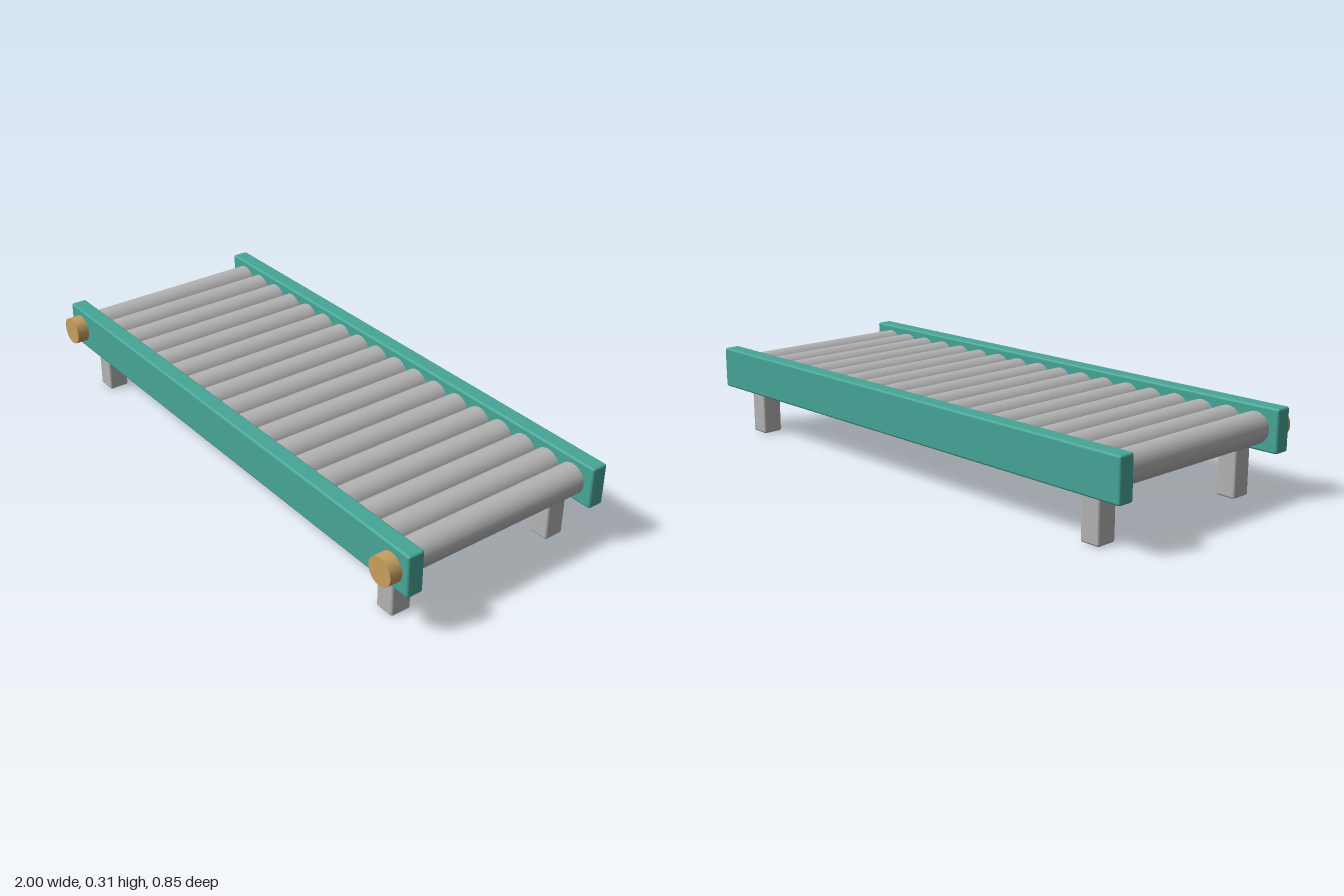
import * as THREE from 'three';
import { RoundedBoxGeometry } from 'three/addons/geometries/RoundedBoxGeometry.js';

const AXIS_Y = 0.237; // height of roller and knob axes
const MID_Z = -0.022; // middle of the frame, set back by the knobs

export function createModel() {
  const model = new THREE.Group();
  model.name = 'rollerConveyor';

  const flat = (name, color) => {
    const m = new THREE.MeshStandardMaterial({ color });
    m.name = name;
    return m;
  };
  const teal = flat('teal paint', 0x46a698);
  const steel = flat('grey steel', 0xb4b4b4);
  const brass = flat('brass', 0xc8a060);

  const add = (name, geometry, material, x, y, z) => {
    const mesh = new THREE.Mesh(geometry, material);
    mesh.name = name;
    mesh.position.set(x, y, z);
    model.add(mesh);
  };

  // Side rails
  const rail = new RoundedBoxGeometry(2, 0.149, 0.06, 2, 0.008);
  add('frontRail', rail, teal, 0, AXIS_Y, MID_Z + 0.375);
  add('backRail', rail, teal, 0, AXIS_Y, MID_Z - 0.375);

  // Bed of rollers between the rails
  const count = 18;
  const roller = new THREE.CylinderGeometry(0.054, 0.054, 0.72, 28).rotateX(Math.PI / 2);
  for (let i = 0; i < count; i++) {
    const x = -0.913 + (1.826 * i) / (count - 1);
    add('roller' + (i + 1), roller, steel, x, AXIS_Y, MID_Z);
  }

  // Four legs and the two knobs on the front rail
  const leg = new RoundedBoxGeometry(0.074, 0.21, 0.075, 2, 0.008);
  const knob = new THREE.CylinderGeometry(0.05, 0.05, 0.065, 20).rotateX(Math.PI / 2);
  for (const [side, s] of [['left', 1], ['right', -1]]) {
    add(side + 'FrontLeg', leg, steel, s * 0.85, 0.105, MID_Z + 0.325);
    add(side + 'BackLeg', leg, steel, s * 0.85, 0.105, MID_Z - 0.325);
    add(side + 'Knob', knob, brass, s * 0.925, AXIS_Y, 0.395);
  }

  return model;
}
